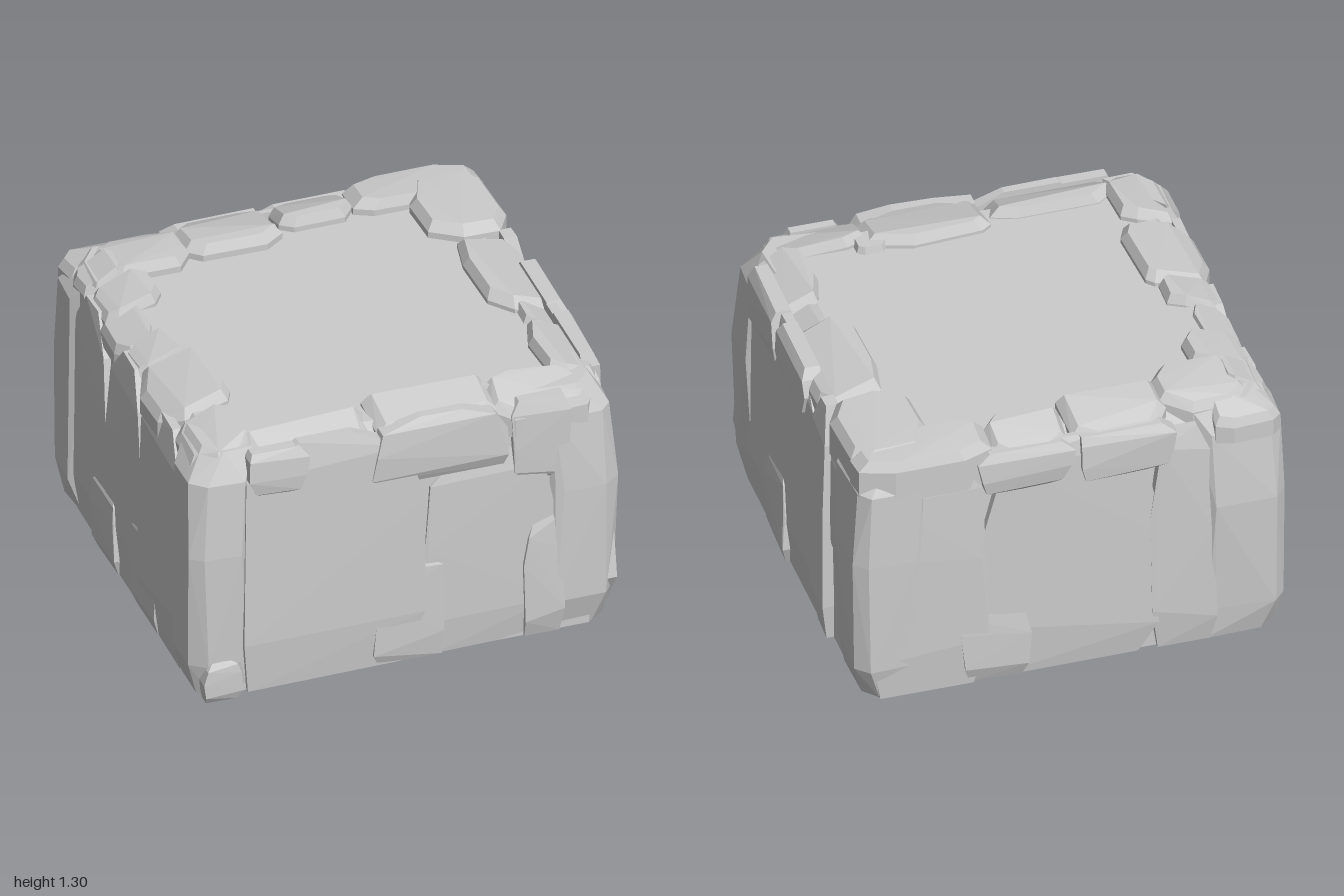
import * as THREE from 'three';
import { ConvexGeometry } from 'three/addons/geometries/ConvexGeometry.js';

const stone = new THREE.MeshStandardMaterial({ color: 0xcccccc, flatShading: true, side: THREE.DoubleSide });

// Seeded jitter in -1..1
let seed = 7;
function jitter(amount) {
  seed = (seed * 16807) % 2147483647;
  return (seed / 1073741823.5 - 1) * amount;
}

// A faceted stone: the hull of a few corner points
function hull(name, pts) {
  const mesh = new THREE.Mesh(new ConvexGeometry(pts.map(p => new THREE.Vector3(...p))), stone);
  mesh.name = name;
  return mesh;
}

// Maps wall coordinates (along, up, outward) to space
const walls = {
  front: (u, y, d) => [u, y, d],
  back: (u, y, d) => [u, y, -d],
  right: (u, y, d) => [d, y, u],
  left: (u, y, d) => [-d, y, u],
};

// Irregular slab outline: fraction along, fraction up, depth offset
const slabOutline = [
  [0.08, 0, -0.025], [0.92, 0, -0.025], [1, 0.2, 0], [1, 0.65, 0], [0.9, 0.9, -0.005],
  [0.65, 1, -0.03], [0.3, 1, -0.03], [0.06, 0.86, -0.005], [0, 0.55, 0], [0, 0.16, 0],
];

// A slab on a wall; with from > to in height it tapers downward
function slab(side, name, u0, u1, from, to, depth) {
  const root = side === 'front' || side === 'back' ? 0.87 : 0.9;
  const pts = [];
  for (const [a, b, c] of slabOutline) {
    const inner = b > 0 && b < 1;
    const u = u0 + (u1 - u0) * (a + jitter(0.05));
    const y = from + (to - from) * (b + (inner ? jitter(0.05) : 0));
    pts.push(walls[side](u, y, depth + c + jitter(0.006)), walls[side](u, y, root));
  }
  return hull(name, pts);
}

// A corner pillar, swelling at mid height and chamfered at top and bottom
function pillar(name, sx, sz, alongX, alongZ) {
  const pts = [];
  for (const [y, s] of [[0.015, 0.95], [0.18, 0.985], [0.75, 1], [1.12, 0.98], [1.25, 0.9]]) {
    const x = 0.99 * s, z = 0.945 * s, cut = y > 1.2 ? 0.08 : 0.06;
    for (const [px, pz] of [[x - alongX, z], [x - cut, z], [x, z - cut], [x, z - alongZ]]) {
      pts.push([sx * (px + jitter(0.012)), y, sz * (pz + jitter(0.012))]);
    }
  }
  return hull(name, pts);
}

// A stone on the upper rim: a rounded box in plan, bevelled and sloping to the outside
function rimStone(x0, x1, z0, z1, top, slope) {
  const cx = (x0 + x1) / 2, cz = (z0 + z1) / 2;
  const square = v => Math.sign(v) * Math.abs(v) ** 0.55;
  const pts = [];
  for (let i = 0; i < 8; i++) {
    const a = (i + 0.4 + jitter(0.3)) * Math.PI / 4;
    const dx = square(Math.cos(a)) * (x1 - x0) / 2;
    const dz = square(Math.sin(a)) * (z1 - z0) / 2;
    const edge = Math.max(Math.abs(cx + dx), Math.abs(cz + dz));
    const y = top - slope * Math.max(0, edge - 0.78);
    pts.push([cx + dx * 0.84, y, cz + dz * 0.84]);
    pts.push([cx + dx, y - 0.045, cz + dz]);
    pts.push([cx + dx, edge > 0.8 ? 1.08 : 1.2, cz + dz]);
  }
  return hull('rimStone', pts);
}

// Hollow core, open below, with a flat floor on top
function core() {
  const rings = [[0.015, 1], [0.65, 1.015], [1.14, 1], [1.23, 0.9]];
  const plan = [[0.93, -0.8], [0.93, 0.8], [0.86, 0.9], [-0.84, 0.9], [-0.92, 0.8], [-0.92, -0.8], [-0.84, -0.88], [0.86, -0.88]];
  const pos = [], idx = [], n = plan.length;
  for (const [y, s] of rings) for (const [x, z] of plan) pos.push(x * s, y, z * s);
  for (let r = 0; r < rings.length - 1; r++) for (let i = 0; i < n; i++) {
    const a = r * n + i, b = r * n + (i + 1) % n;
    idx.push(a, a + n, b, b, a + n, b + n);
  }
  const last = (rings.length - 1) * n;
  for (let i = 1; i < n - 1; i++) idx.push(last, last + i + 1, last + i);
  const indexed = new THREE.BufferGeometry();
  indexed.setAttribute('position', new THREE.Float32BufferAttribute(pos, 3));
  indexed.setIndex(idx);
  const geo = indexed.toNonIndexed();
  geo.computeVertexNormals();
  const mesh = new THREE.Mesh(geo, stone);
  mesh.name = 'hollowCore';
  return mesh;
}

export function createModel() {
  seed = 7;
  const g = new THREE.Group();
  g.name = 'rockBlock';
  g.add(core());

  // Front wall
  g.add(slab('front', 'frontMainSlab', -0.75, 0.07, 0.015, 1.26, 0.94));
  g.add(slab('front', 'frontLedge', -0.13, 0.48, 0.95, 1.27, 0.945));
  g.add(slab('front', 'frontRecess', 0.08, 0.7, 0.015, 1.04, 0.925));
  g.add(slab('front', 'frontFoot', -0.14, 0.19, 0.015, 0.56, 0.935));
  g.add(slab('front', 'frontButtress', 0.55, 0.73, 0.015, 0.66, 0.94));
  g.add(slab('front', 'frontUpperStone', -0.72, -0.45, 1.25, 1.02, 0.945));
  g.add(slab('front', 'frontUpperStone', 0.5, 0.76, 1.25, 0.83, 0.935));

  // Right wall
  g.add(slab('right', 'rightMainSlab', -0.36, 0.9, 0.015, 1.25, 0.975));
  g.add(slab('right', 'rightFoot', 0.14, 0.43, 0.015, 0.5, 0.99));
  g.add(slab('right', 'rightOverhang', 0.3, 0.7, 1.26, 0.97, 0.99));
  g.add(slab('right', 'rightOverhang', -0.16, 0.26, 1.26, 1.02, 0.99));
  g.add(slab('right', 'rightRib', -0.44, -0.25, 0.015, 1.25, 0.985));
  g.add(slab('right', 'rightRecess', -0.62, -0.41, 1.1, 0.46, 0.95));

  // Back wall
  g.add(slab('back', 'backEndSlab', 0.4, 0.9, 0.015, 1.22, 0.935));
  g.add(slab('back', 'backMainSlab', -0.4, 0.42, 0.015, 1.24, 0.925));
  g.add(slab('back', 'backFoot', 0.2, 0.5, 0.015, 0.42, 0.935));
  g.add(slab('back', 'backRib', -0.66, -0.36, 0.015, 1.18, 0.93));
  g.add(slab('back', 'backOverhang', 0, 0.42, 1.24, 1.02, 0.945));
  g.add(slab('back', 'backOverhang', -0.46, -0.02, 1.24, 1, 0.945));

  // Left wall
  g.add(slab('left', 'leftRearSlab', -0.72, -0.26, 0.015, 1.2, 0.965));
  g.add(slab('left', 'leftMiddleSlab', -0.26, 0.2, 0.015, 1.2, 0.965));
  g.add(slab('left', 'leftFrontSlab', 0.2, 0.72, 0.015, 1.2, 0.97));
  g.add(slab('left', 'leftFoot', -0.42, -0.12, 0.015, 0.42, 0.975));
  g.add(slab('left', 'leftFoot', 0.06, 0.4, 0.015, 0.5, 0.97));

  // Corner pillars, and a small stone at the foot of one
  g.add(pillar('frontRightPillar', 1, 1, 0.27, 0.25));
  g.add(pillar('frontLeftPillar', -1, 1, 0.22, 0.25));
  g.add(pillar('backRightPillar', 1, -1, 0.28, 0.31));
  g.add(pillar('backLeftPillar', -1, -1, 0.33, 0.25));
  g.add(slab('front', 'footStone', -0.93, -0.76, 0, 0.21, 0.945));

  // Rim stones: x from, x to, z from, z to, top, outward slope
  const rim = [
    [-0.96, -0.63, -0.95, -0.74, 1.29, 0.5],
    [-0.84, -0.43, -0.87, -0.56, 1.305, 0.4],
    [-0.46, 0.01, -0.93, -0.6, 1.305, 0.4],
    [0, 0.36, -0.93, -0.69, 1.3, 0.4],
    [0.34, 0.97, -0.94, -0.69, 1.305, 0.12],
    [0.59, 0.98, -0.86, -0.37, 1.305, 0.1],
    [0.66, 0.97, -0.39, 0.23, 1.295, 0.4],
    [0.76, 0.98, 0.16, 0.36, 1.27, 0.5],
    [0.72, 0.97, 0.34, 0.78, 1.29, 0.4],
    [0.41, 0.9, 0.7, 0.94, 1.29, 0.5],
    [0.35, 0.5, 0.64, 0.78, 1.265, 0.2],
    [-0.14, 0.46, 0.63, 0.94, 1.29, 0.4],
    [-0.72, -0.12, 0.7, 0.92, 1.28, 0.5],
    [-0.95, -0.66, 0.52, 0.88, 1.295, 0.5],
    [-0.97, -0.62, 0.04, 0.51, 1.295, 0.5],
    [-0.95, -0.68, -0.13, 0.08, 1.285, 0.5],
    [-0.95, -0.76, -0.44, -0.1, 1.25, 0.4],
    [-0.94, -0.65, -0.6, -0.34, 1.295, 0.5],
    [-0.95, -0.75, -0.78, -0.58, 1.3, 0.5],
  ];
  for (const r of rim) g.add(rimStone(...r));
  return g;
}
